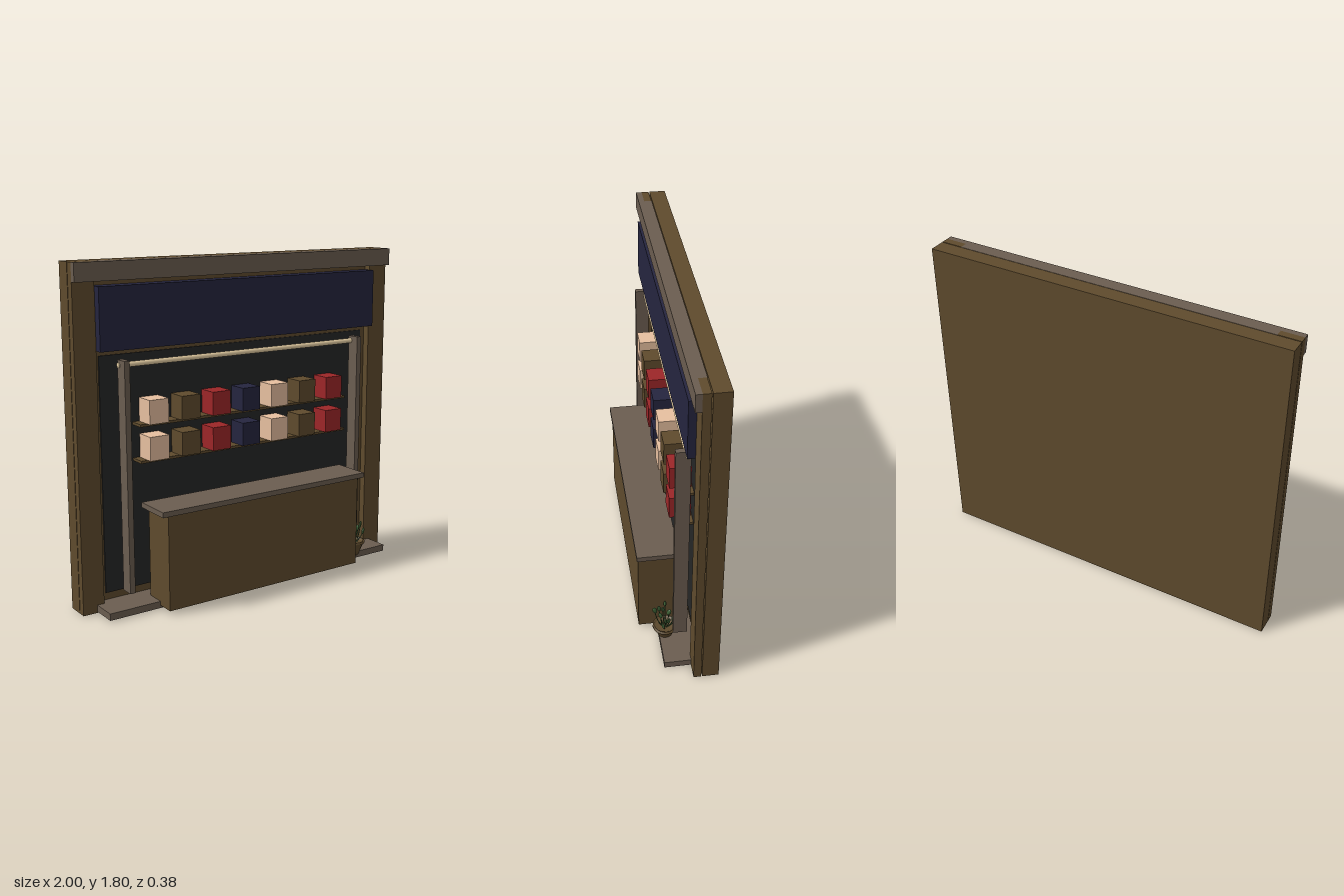
import * as THREE from 'three';

const mat = (name, color, side = THREE.FrontSide) => {
  const m = new THREE.MeshStandardMaterial({ color, side });
  m.name = name;
  return m;
};

export function createModel() {
  const wood = mat('brown wood', 0x5f4b2d);
  const stone = mat('grey wood', 0x6b5d50);
  const navy = mat('navy', 0x25253f);
  const dark = mat('charcoal', 0x252626);
  const peach = mat('peach', 0xe8c0a0);
  const red = mat('red', 0x9c2628);
  const bamboo = mat('pale bamboo', 0xe6cfa4);
  const green = mat('leaf green', 0x3c6034, THREE.DoubleSide);

  const model = new THREE.Group();
  model.name = 'shopFront';

  const add = (name, geometry, material, parent = model) => {
    const mesh = new THREE.Mesh(geometry, material);
    mesh.name = name;
    parent.add(mesh);
    return mesh;
  };
  // Box given by its extents on each axis
  const box = (name, material, [x0, x1], [y0, y1], [z0, z1], parent = model) => {
    const mesh = add(name, new THREE.BoxGeometry(x1 - x0, y1 - y0, z1 - z0), material, parent);
    mesh.position.set((x0 + x1) / 2, (y0 + y1) / 2, (z0 + z1) / 2);
    return mesh;
  };

  // Wall, recessed panel and frame
  box('backWall', wood, [-1, 1], [0, 1.8], [-0.19, -0.103]);
  box('darkPanel', dark, [-0.85, 0.85], [0.08, 1.33], [-0.103, -0.096]);
  for (const s of [-1, 1]) {
    const side = s > 0 ? 'left' : 'right';
    box(side + 'Pillar', wood, s > 0 ? [0.88, 1] : [-1, -0.88], [0, 1.8], [-0.098, -0.058]);
    const x = 0.75 * s;
    box(side + 'Post', stone, [x - 0.015, x + 0.015], [0.09, 1.31], [-0.06, 0.014]);
  }
  box('corniceFront', stone, [-1, 1], [1.705, 1.8], [-0.058, -0.027]);
  box('corniceBack', stone, [-0.88, 0.88], [1.705, 1.8], [-0.1, -0.058]);
  box('signBoard', navy, [-0.877, 0.877], [1.36, 1.68], [-0.1, -0.02]);
  box('doorStep', stone, [-0.92, 0.92], [0.005, 0.042], [-0.1, 0.083]);

  // Curtain rod
  const rod = add('curtainRod', new THREE.CylinderGeometry(0.014, 0.014, 1.54, 12), bamboo);
  rod.rotation.z = Math.PI / 2;
  rod.position.set(0, 1.283, -0.045);

  // Shelves with rows of coloured goods
  const goods = [peach, wood, red, navy, peach, wood, red];
  for (const y of [0.775, 0.966]) {
    const shelf = new THREE.Group();
    shelf.name = 'shelfRow';
    model.add(shelf);
    box('shelf', wood, [-0.67, 0.67], [y - 0.007, y + 0.007], [-0.103, -0.01], shelf);
    goods.forEach((material, i) => {
      const x = -0.576 + i * 0.19;
      box('goodsBox', material, [x - 0.056, x + 0.056], [y + 0.007, y + 0.133], [-0.09, 0.02], shelf);
    });
  }

  // Counter
  box('counterBody', wood, [-0.627, 0.619], [0.02, 0.53], [-0.02, 0.18]);
  box('counterTop', stone, [-0.663, 0.657], [0.53, 0.558], [-0.03, 0.19]);

  // Potted plant
  const plant = new THREE.Group();
  plant.name = 'pottedPlant';
  plant.position.set(0.71, 0.02, 0.05);
  model.add(plant);
  const profile = [[0, 0], [0.034, 0], [0.042, 0.03], [0.058, 0.066], [0.066, 0.072],
    [0.066, 0.084], [0.056, 0.084], [0.052, 0.07], [0, 0.07]];
  add('pot', new THREE.LatheGeometry(profile.map(([x, y]) => new THREE.Vector2(x, y)), 16), wood, plant);
  const leafGeometry = new THREE.SphereGeometry(1, 8, 6);
  for (let i = 0; i < 11; i++) {
    const a = i * 2.4;
    const r = 0.02 + 0.06 * ((i * 5 % 11) / 10);
    const h = 0.12 + 0.055 * ((i * 7 % 11) / 10);
    const tip = new THREE.Vector3(Math.cos(a) * r, h, Math.sin(a) * r * 0.8);
    const path = new THREE.QuadraticBezierCurve3(
      new THREE.Vector3(tip.x * 0.3, 0.068, tip.z * 0.3),
      new THREE.Vector3(tip.x * 0.8, 0.1, tip.z * 0.8), tip);
    add('stem', new THREE.TubeGeometry(path, 5, 0.0025, 5), green, plant);
    const leaf = add('leaf', leafGeometry, green, plant);
    leaf.position.copy(tip).y += 0.008;
    leaf.scale.set(0.012, 0.021, 0.007);
    leaf.rotation.set(Math.sin(a) * 0.3, a, -Math.cos(a) * 0.3);
  }

  return model;
}
